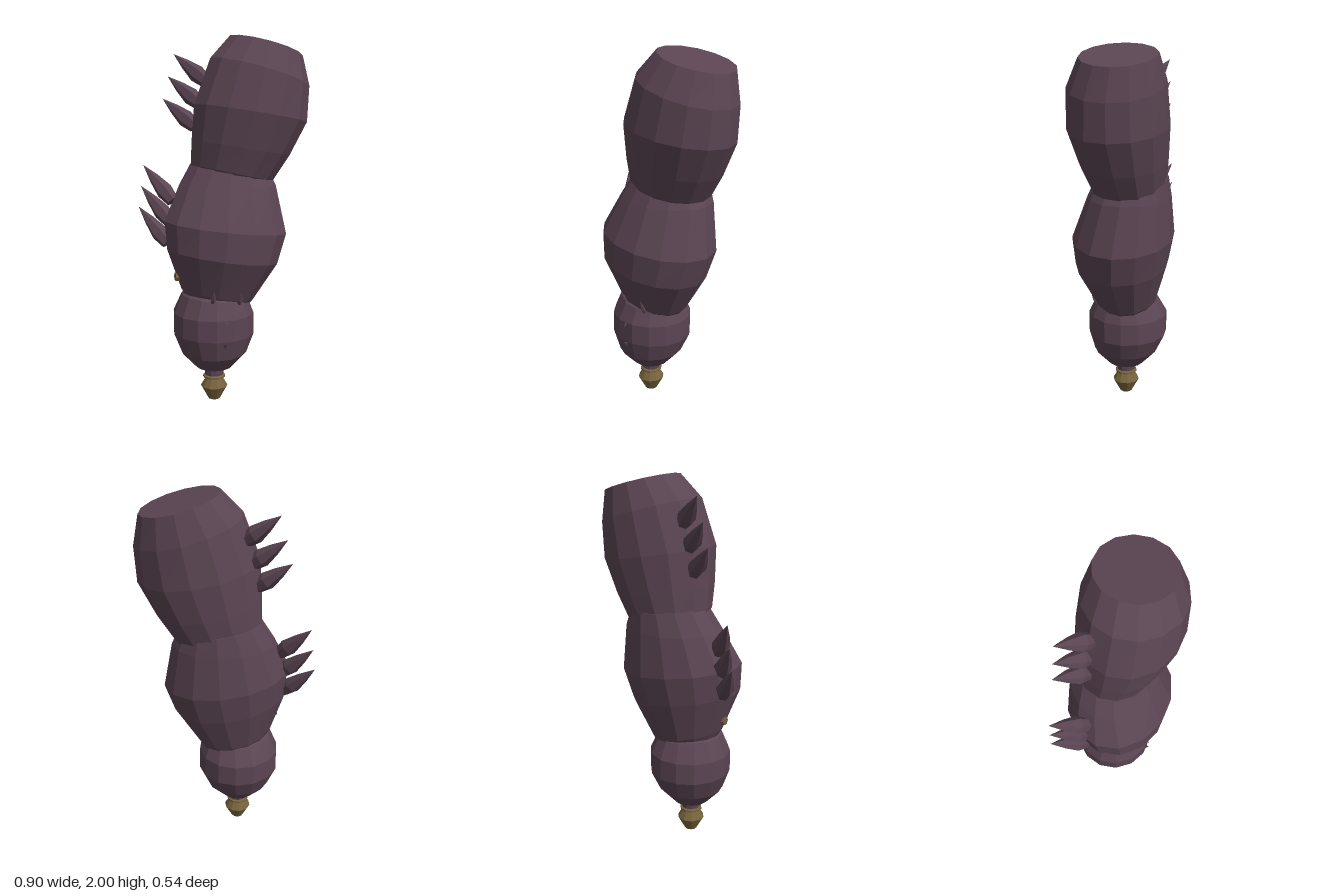
import * as THREE from 'three';

const skin = new THREE.MeshStandardMaterial({ color: 0x5b4553 });
skin.name = 'plum hide';
const brass = new THREE.MeshStandardMaterial({ color: 0x75623c });
brass.name = 'dull brass';

// Splits shared corners so every facet is flat
function facet(geometry) {
  const g = geometry.index ? geometry.toNonIndexed() : geometry;
  g.computeVertexNormals();
  return g;
}

// Closed tube through rings listed bottom to top:
// [leftX, leftY, rightX, rightY, frontZ, backZ]
function loft(rings, sides = 14) {
  const pos = [], index = [];
  for (const [lx, ly, rx, ry, zf, zb] of rings) {
    for (let j = 0; j < sides; j++) {
      const a = (j / sides) * Math.PI * 2, c = Math.cos(a) / 2;
      pos.push((lx + rx) / 2 + c * (rx - lx), (ly + ry) / 2 + c * (ry - ly),
        (zf + zb) / 2 + Math.sin(a) * (zf - zb) / 2 / Math.cos(Math.PI / sides / 2));
    }
  }
  for (let i = 0; i < rings.length - 1; i++) {
    for (let j = 0; j < sides; j++) {
      const k = (j + 1) % sides;
      const a = i * sides + j, b = i * sides + k, d = a + sides, c = b + sides;
      index.push(a, d, b, b, d, c);
    }
  }
  const top = (rings.length - 1) * sides;
  for (let j = 1; j < sides - 1; j++) {
    index.push(0, j, j + 1, top, top + j + 1, top + j);
  }
  const g = new THREE.BufferGeometry();
  g.setAttribute('position', new THREE.Float32BufferAttribute(pos, 3));
  g.setIndex(index);
  return facet(g);
}

function lathe(points, sides) {
  return facet(new THREE.LatheGeometry(points.map(([r, y]) => new THREE.Vector2(r, y)), sides));
}

export function createModel() {
  const group = new THREE.Group();
  const add = (name, geometry, material) => {
    const mesh = new THREE.Mesh(geometry, material);
    mesh.name = name;
    group.add(mesh);
    return mesh;
  };
  const up = new THREE.Vector3(0, 1, 0);

  // Tapered thorn from a base point to a tip
  const thorn = (name, base, tip, radius, sides = 6) => {
    const from = new THREE.Vector3(...base), dir = new THREE.Vector3(...tip).sub(from);
    const h = dir.length();
    const mesh = add(name, lathe([[0, 0], [radius * 0.75, 0], [radius, h * 0.28],
      [radius * 0.62, h * 0.62], [0, h]], sides), skin);
    mesh.position.copy(from);
    mesh.quaternion.setFromUnitVectors(up, dir.normalize());
  };

  // Three overlapping body segments
  add('upperSegment', loft([
    [-0.13, 1.24, 0.2, 1.17, 0.12, -0.19],
    [-0.2, 1.32, 0.26, 1.22, 0.165, -0.235],
    [-0.2, 1.45, 0.35, 1.36, 0.215, -0.25],
    [-0.19, 1.64, 0.44, 1.54, 0.265, -0.262],
    [-0.1, 1.88, 0.45, 1.73, 0.25, -0.25],
    [0.015, 2.0, 0.42, 1.893, 0.18, -0.215],
  ]), skin);
  add('middleSegment', loft([
    [-0.22, 0.55, 0.07, 0.5, 0.11, -0.13],
    [-0.27, 0.65, 0.135, 0.56, 0.165, -0.18],
    [-0.35, 0.87, 0.27, 0.77, 0.27, -0.245],
    [-0.36, 1.02, 0.325, 0.935, 0.28, -0.275],
    [-0.27, 1.2, 0.28, 1.2, 0.19, -0.26],
    [-0.19, 1.33, 0.24, 1.29, 0.14, -0.245],
  ]), skin);
  add('lowerBulb', loft([
    [-0.185, 0.19, 0.015, 0.19, 0.1, -0.1],
    [-0.265, 0.275, 0.095, 0.275, 0.18, -0.18],
    [-0.31, 0.39, 0.14, 0.38, 0.21, -0.232],
    [-0.31, 0.505, 0.14, 0.5, 0.21, -0.232],
    [-0.265, 0.61, 0.11, 0.575, 0.17, -0.18],
    [-0.2, 0.66, 0.04, 0.63, 0.1, -0.11],
  ]), skin);

  // Two rows of backward-leaning thorns
  [[-0.245, 1.91], [-0.28, 1.79], [-0.31, 1.67]].forEach(([x, y], i) =>
    thorn('upperThorn' + (i + 1), [x + 0.15, y - 0.15, -0.1], [x, y, -0.21], 0.047));
  [[-0.425, 1.31], [-0.44, 1.195], [-0.455, 1.08]].forEach(([x, y], i) =>
    thorn('middleThorn' + (i + 1), [x + 0.13, y - 0.19, -0.07], [x, y, -0.21], 0.047));

  // Small horns and a ring of tiny teeth on the bulb's front
  [[-0.14, 0.59], [0.01, 0.575]].forEach(([x, y]) =>
    thorn('smallHorn', [x, y, 0.15], [x, y + 0.08, 0.185], 0.014, 5));
  for (let i = 0; i < 12; i++) {
    const a = (i / 12) * Math.PI * 2;
    const x = -0.085 + 0.115 * Math.cos(a), y = 0.43 + 0.075 * Math.sin(a);
    const z = 0.2 - Math.abs(Math.cos(a)) * 0.035;
    thorn('tooth', [x, y, z - 0.02], [x - 0.03 * Math.cos(a), y - 0.025 * Math.sin(a), z + 0.02], 0.017, 4);
  }

  // Neck, collar and faceted finial at the bottom
  const cx = -0.085;
  add('neck', lathe([[0.05, 0.12], [0.055, 0.19], [0.075, 0.21]], 10), skin).position.x = cx;
  add('collar', lathe([[0.045, 0.118], [0.062, 0.125], [0.062, 0.135], [0.048, 0.142]], 10), brass).position.x = cx;
  add('finial', lathe([[0, 0], [0.034, 0], [0.075, 0.075], [0.045, 0.125], [0, 0.125]], 10), brass).position.x = cx;

  // Brass stud on the side
  const stud = add('sideStud', facet(new THREE.CylinderGeometry(0.024, 0.024, 0.06, 6)), brass);
  stud.rotation.z = Math.PI / 2;
  stud.position.set(-0.275, 0.715, 0);
  return group;
}
